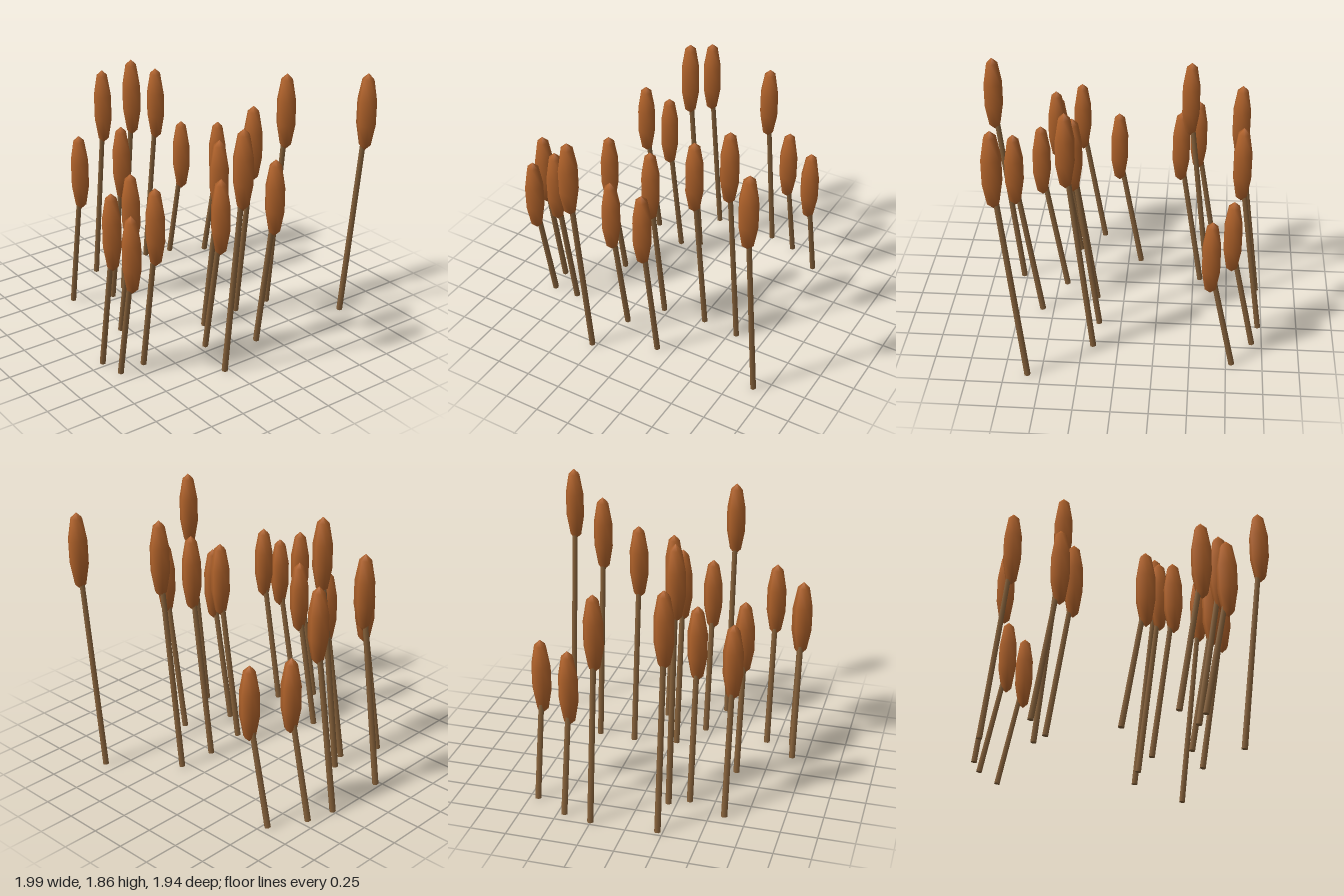
import * as THREE from 'three';

// Each reed: head x, head z, top height
const REEDS = [
  [0.755, -0.905, 1.865], [-0.625, -0.69, 1.14], [-0.765, -0.45, 1.155],
  [-0.81, -0.25, 1.6], [0.34, -0.55, 1.82], [0.32, -0.28, 1.64],
  [0.745, -0.135, 1.43], [0.36, 0.035, 1.48], [0.6, 0.2, 1.325],
  [0.937, 0.285, 1.8], [-0.802, 0.215, 1.68], [-0.45, 0.195, 1.85],
  [-0.387, 0.33, 1.405], [-0.507, 0.6, 1.36], [0.07, 0.555, 1.265],
  [0.545, 0.68, 1.365], [0.55, 0.867, 1.225], [0.375, 0.9, 1.325],
];
const LEAN = 0.165;
const HEAD_LENGTH = 0.55;

export function createModel() {
  const model = new THREE.Group();
  model.name = 'reedCluster';

  const headBrown = new THREE.MeshStandardMaterial({ color: 0xb0622a });
  headBrown.name = 'headBrown';
  const stemBrown = new THREE.MeshStandardMaterial({ color: 0x86613a });
  stemBrown.name = 'stemBrown';

  // Six-sided seed head, pointed at both ends
  const profile = [
    [0, 0], [0.042, 0.04], [0.069, 0.19], [0.069, 0.36], [0.042, 0.51], [0, HEAD_LENGTH],
  ].map(([r, y]) => new THREE.Vector2(r, y));
  const headGeometry = new THREE.LatheGeometry(profile, 6);
  const up = new THREE.Vector3(0, 1, 0);

  REEDS.forEach(([x, z, top], i) => {
    const reed = new THREE.Group();
    reed.name = `reed${i + 1}`;

    // Upright head
    const head = new THREE.Mesh(headGeometry, headBrown);
    head.name = 'seedHead';
    head.position.set(x, top - HEAD_LENGTH, z);

    // Leaning stem, ending inside the head
    const foot = new THREE.Vector3(x - LEAN, 0.004, z);
    const tip = new THREE.Vector3(x, top - 0.35, z);
    const along = tip.clone().sub(foot);
    const stem = new THREE.Mesh(new THREE.CylinderGeometry(0.019, 0.022, along.length(), 6), stemBrown);
    stem.name = 'stem';
    stem.position.copy(foot).add(tip).multiplyScalar(0.5);
    stem.quaternion.setFromUnitVectors(up, along.normalize());

    reed.add(head, stem);
    model.add(reed);
  });
  return model;
}
